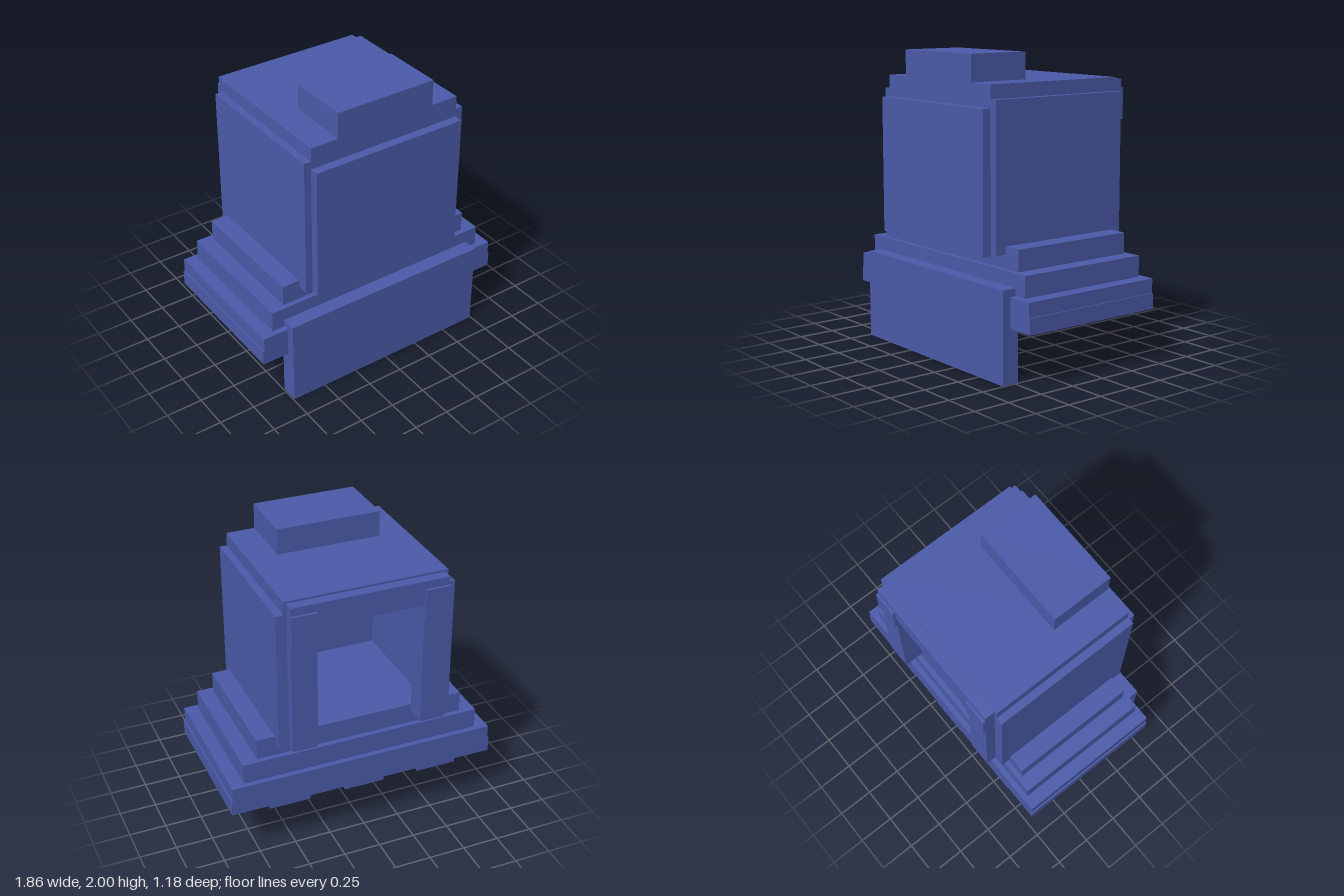
import * as THREE from 'three';

export function createModel() {
  const model = new THREE.Group();
  const blue = new THREE.MeshStandardMaterial({ color: 0x4a5aa8 });
  blue.name = 'slate blue';

  // Box given by its limits on each axis
  function box(name, [x0, x1], [y0, y1], [z0, z1]) {
    const mesh = new THREE.Mesh(new THREE.BoxGeometry(x1 - x0, y1 - y0, z1 - z0), blue);
    mesh.name = name;
    mesh.position.set((x0 + x1) / 2, (y0 + y1) / 2, (z0 + z1) / 2);
    model.add(mesh);
  }
  const wide = (w) => [-w, w];
  // The same box on both sides
  function pair(name, [x0, x1], y, z) {
    box(name + 'Left', [x0, x1], y, z);
    box(name + 'Right', [-x1, -x0], y, z);
  }

  // Stepped base
  box('baseSlab', wide(0.93), [0.35, 0.455], [-0.5, 0.53]);
  box('lowerStep', wide(0.92), [0.455, 0.55], [-0.5, 0.53]);
  box('middleStep', wide(0.83), [0.55, 0.69], [-0.465, 0.49]);
  box('upperStep', wide(0.725), [0.69, 0.83], [-0.43, 0.455]);
  for (const x of [-0.53, 0, 0.53]) {
    box('undersideSlat', [x - 0.14, x + 0.14], [0.325, 0.35], [-0.5, 0.53]);
  }

  // Front apron hanging below the base
  box('frontApron', wide(0.743), [0, 0.6], [0.47, 0.59]);

  // Hollow cabin, open at the back
  pair('sideWall', [0.47, 0.6], [0.78, 1.735], [-0.5, 0.53]);
  box('frontWall', wide(0.47), [0.78, 1.735], [0.43, 0.53]);
  box('frontPanel', wide(0.55), [0.77, 1.68], [0.53, 0.59]);
  box('roof', wide(0.55), [1.735, 1.825], [-0.5, 0.53]);
  box('roofBlock', wide(0.355), [1.825, 2], [0.1, 0.53]);

  // Rear door frame
  pair('rearPost', [0.36, 0.53], [0.78, 1.81], [-0.57, -0.43]);
  box('rearHeader', wide(0.36), [1.645, 1.81], [-0.57, -0.43]);
  pair('postPlate', [0.36, 0.53], [1.545, 1.755], [-0.587, -0.57]);

  return model;
}
